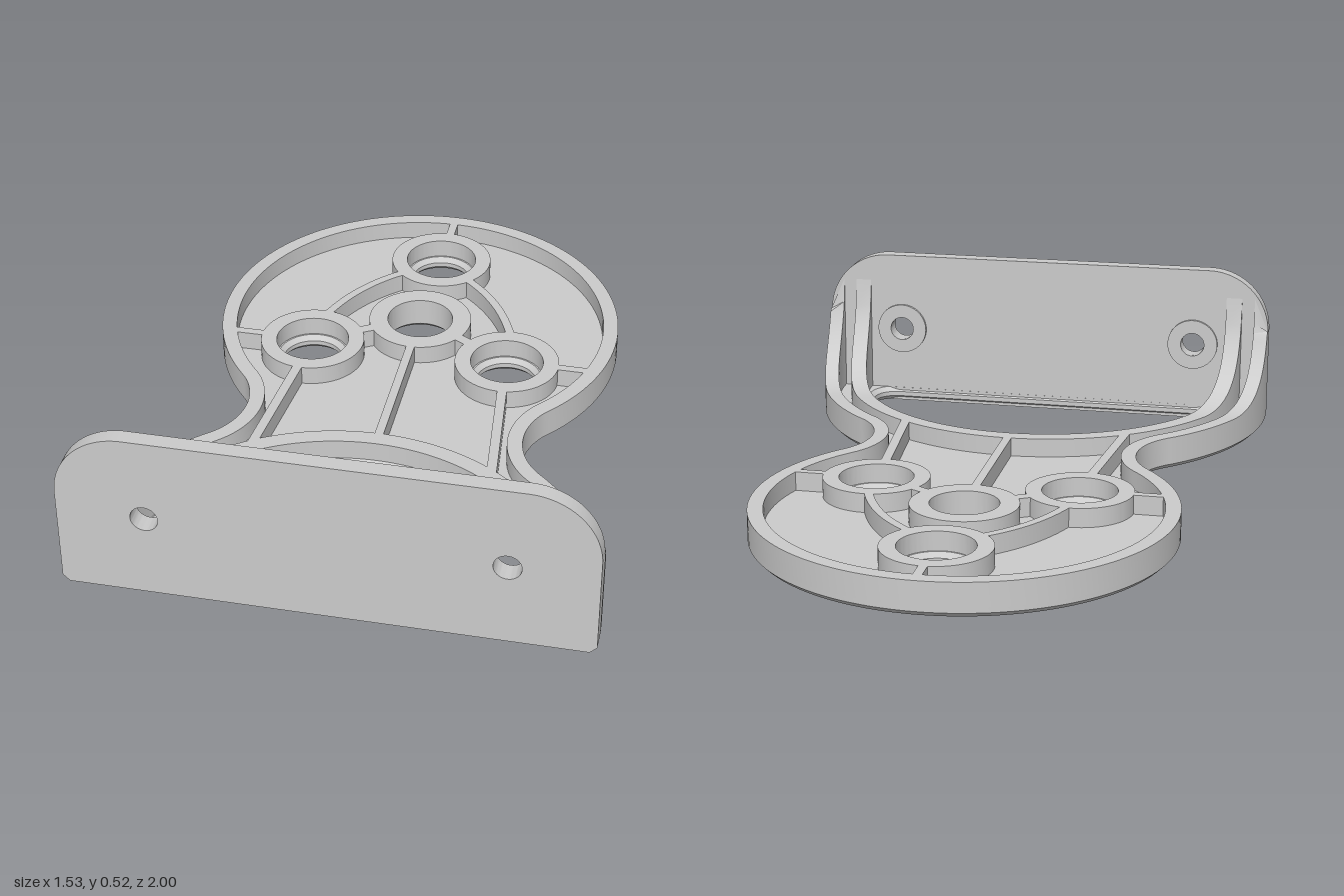
import * as THREE from 'three';
import { toCreasedNormals } from 'three/addons/utils/BufferGeometryUtils.js';

const TOP = 0.105, SEAM = 0.03, FLOOR = 0.045;
const PLATE = { w: 0.765, h: 0.522, r: 0.205, chamfer: 0.02 };
const material = new THREE.MeshStandardMaterial({ color: 0xcccccc });

// Points are [x, z] in plan
const toVectors = (pts) => pts.map(([x, z]) => new THREE.Vector2(x, -z));

// Arc around (cx, cz); angle 0 points to +x and a quarter turn to +z
function arc(cx, cz, r, a0, a1, n) {
  return Array.from({ length: n + 1 }, (_, i) => {
    const a = a0 + ((a1 - a0) * i) / n;
    return [cx + r * Math.cos(a), cz + r * Math.sin(a)];
  });
}

const mirrored = (pts) => pts.map(([x, z]) => [-x, z]).reverse();

function addMesh(group, name, geometry) {
  const mesh = new THREE.Mesh(toCreasedNormals(geometry, 0.5), material);
  mesh.name = name;
  group.add(mesh);
}

function circleHole(x, y, r) {
  return new THREE.Path().absarc(x, y, r, 0, Math.PI * 2, true);
}

// Bracket outline, inset by d: round head, concave neck, flared arms
function outline(d) {
  const head = [0, -0.36], neck = [0.66, 0.206], foot = [0, 0.95];
  const aHead = Math.atan2(neck[1] - head[1], neck[0] - head[0]);
  const aFoot = Math.atan2(neck[1] - foot[1], neck[0] - foot[0]);
  const half = [
    ...arc(...head, 0.64 - d, -Math.PI / 2, aHead, 48),
    ...arc(...neck, 0.23 + d, aHead + Math.PI, aFoot + Math.PI, 20).slice(1),
    ...arc(...foot, 0.765 - d, aFoot, 0, 60).slice(1),
    [0.765 - d, 0.97],
  ];
  return [...mirrored(half), ...half.slice(1)];
}

// Walls sweep up in a quarter circle to the plate, kept within its round corners
function wallTop(x, z) {
  const t = THREE.MathUtils.clamp(z - 0.625, 0, 0.325);
  const u = THREE.MathUtils.clamp(Math.abs(x) - (PLATE.w - PLATE.r), 0, PLATE.r);
  const corner = PLATE.h - PLATE.r + Math.sqrt(PLATE.r ** 2 - u * u);
  return Math.min(TOP + 0.325 - Math.sqrt(0.325 ** 2 - t * t), corner);
}

// Upright wall between paired plan curves, a on the left of travel and b on the right
function wall(group, name, a, b, base = SEAM) {
  const sections = a.map(([ax, az], i) => {
    const [bx, bz] = b[i];
    return [[ax, base, az], [ax, wallTop(ax, az), az], [bx, wallTop(bx, bz), bz], [bx, base, bz]];
  });
  const positions = [];
  const quad = (p, q, r, s) => positions.push(...p, ...q, ...r, ...p, ...r, ...s);
  for (let i = 0; i < sections.length - 1; i++) {
    const s = sections[i], t = sections[i + 1];
    for (let j = 0; j < 4; j++) {
      const k = (j + 1) % 4;
      quad(s[j], s[k], t[k], t[j]);
    }
  }
  const [first, last] = [sections[0], sections.at(-1)];
  quad(first[0], first[3], first[2], first[1]);
  quad(...last);
  const g = new THREE.BufferGeometry();
  g.setAttribute('position', new THREE.Float32BufferAttribute(positions, 3));
  addMesh(group, name, g);
}

// Thin rib of constant width along a centre line
function rib(group, name, pts, width = 0.027) {
  const side = (s) => pts.map(([x, z], i) => {
    const p = pts[Math.max(i - 1, 0)], q = pts[Math.min(i + 1, pts.length - 1)];
    const dx = q[0] - p[0], dz = q[1] - p[1], l = Math.hypot(dx, dz);
    return [x - (s * dz * width) / 2 / l, z + (s * dx * width) / 2 / l];
  });
  wall(group, name, side(-1), side(1), 0.035);
}

function ring(outer, inner, depth) {
  const shape = new THREE.Shape().absarc(0, 0, outer, 0, Math.PI * 2, false);
  shape.holes.push(circleHole(0, 0, inner));
  return new THREE.ExtrudeGeometry(shape, { depth, bevelEnabled: false, curveSegments: 48 });
}

export function createModel() {
  const group = new THREE.Group();
  group.name = 'mountingBracket';
  const bosses = [[0, -0.725], [0.315, -0.178], [-0.315, -0.178]];
  const hub = [0, -0.36];

  // Floor with chamfered edges, the arched opening and four round holes
  const floor = new THREE.Shape(toVectors(outline(0).reverse()));
  const corner = new THREE.QuadraticBezierCurve(
    new THREE.Vector2(0.592, 0.84), new THREE.Vector2(0.6, 0.945), new THREE.Vector2(0.51, 0.945),
  ).getPoints(10).map((v) => [v.x, v.y]);
  const arch = arc(0, 0.94, 0.6, -Math.PI / 2, -0.18, 40);
  const openingHalf = [...arch, ...corner];
  floor.holes.push(new THREE.Path(toVectors([...mirrored(openingHalf), ...openingHalf.slice(1)])));
  for (const [x, z] of bosses) floor.holes.push(circleHole(x, -z, 0.095));
  floor.holes.push(circleHole(hub[0], -hub[1], 0.105));
  const floorGeometry = new THREE.ExtrudeGeometry(floor, {
    depth: FLOOR - 0.03, bevelThickness: 0.015, bevelSize: 0.015, bevelOffset: -0.015,
    bevelSegments: 1, curveSegments: 48,
  });
  addMesh(group, 'floor', floorGeometry.rotateX(-Math.PI / 2).translate(0, 0.015, 0));

  // Outer rim and the rib around the opening
  wall(group, 'outerRim', outline(0), outline(0.047));
  const archRib = (r) => [
    [-r, 0.97], ...arc(0, 0.95, r, -Math.PI, 0, 160), [r, 0.97],
  ];
  wall(group, 'archRib', archRib(0.675), archRib(0.622));

  // Hub and bolt bosses
  const addBoss = (name, [x, z], inner) => {
    const g = ring(0.165, inner, TOP - SEAM).rotateX(-Math.PI / 2);
    addMesh(group, name, g.translate(x, SEAM, z));
  };
  addBoss('hub', hub, 0.105);
  bosses.forEach((p) => addBoss('boltBoss', p, 0.115));

  // Stiffening ribs
  rib(group, 'backRib', [[0, -0.975], [0, -0.87]]);
  rib(group, 'centreRib', [[0, -0.21], [0, 0.3]]);
  for (const s of [-1, 1]) {
    const curve = new THREE.QuadraticBezierCurve(
      new THREE.Vector2(s * 0.1, -0.625), new THREE.Vector2(s * 0.24, -0.515), new THREE.Vector2(s * 0.302, -0.325),
    );
    rib(group, 'curvedRib', curve.getPoints(16).map((v) => [v.x, v.y]));
    rib(group, 'sideRib', [[s * 0.465, -0.178], [s * 0.605, -0.178]]);
    rib(group, 'neckRib', [[s * 0.325, -0.03], [s * 0.366, 0.41]], 0.03);
    rib(group, 'hubRib', [[s * 0.13, -0.285], [s * 0.185, -0.253]], 0.035);
  }

  // Upright mounting plate with rounded top corners and screw holes
  const { w, h, r, chamfer: c } = PLATE;
  const plate = new THREE.Shape();
  plate.moveTo(-w + c, 0).lineTo(w - c, 0).lineTo(w, c).lineTo(w, h - r);
  plate.absarc(w - r, h - r, r, 0, Math.PI / 2, false);
  plate.lineTo(-w + r, h);
  plate.absarc(-w + r, h - r, r, Math.PI / 2, Math.PI, false);
  plate.lineTo(-w, c);
  for (const s of [-1, 1]) plate.holes.push(circleHole(s * 0.51, 0.262, 0.04));
  const plateGeometry = new THREE.ExtrudeGeometry(plate, { depth: 0.05, bevelEnabled: false, curveSegments: 24 });
  addMesh(group, 'mountingPlate', plateGeometry.translate(0, 0, 0.95));

  // Raised pads around the screw holes on the back of the plate
  for (const s of [-1, 1]) {
    addMesh(group, 'screwPad', ring(0.085, 0.04, 0.01).translate(s * 0.51, 0.262, 0.94));
  }
  return group;
}
